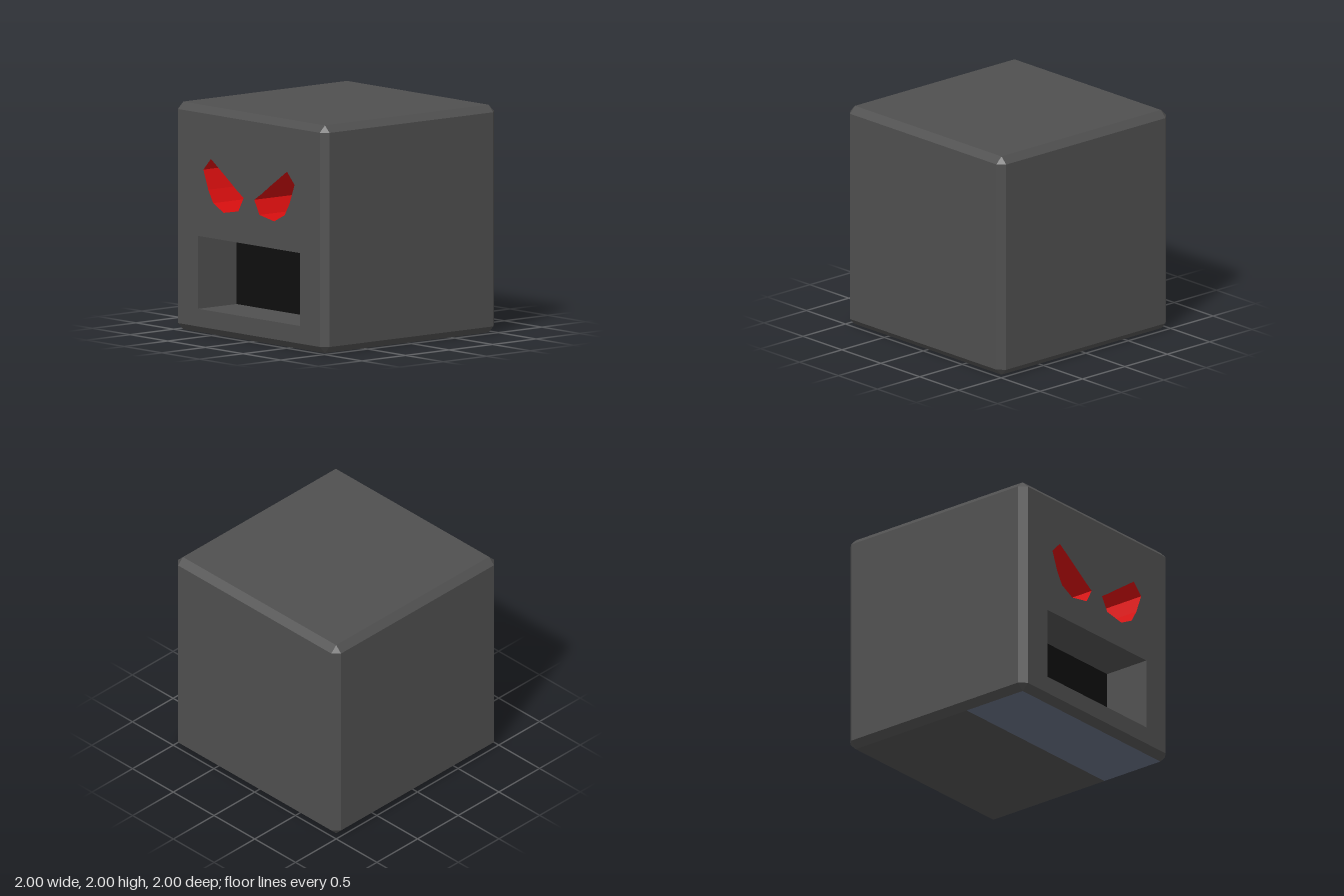
import * as THREE from 'three';
import { ConvexGeometry } from 'three/addons/geometries/ConvexGeometry.js';

const mat = (name, color) => {
  const m = new THREE.MeshStandardMaterial({ color });
  m.name = name;
  return m;
};

const F = 0.94; // half size of each flat face inside the bevel

// One eye outline, counter-clockwise, for the +x side
const EYE = [[0.07, 1.255], [0.14, 1.13], [0.335, 1.095], [0.475, 1.165], [0.54, 1.275],
  [0.605, 1.445], [0.505, 1.55], [0.395, 1.475], [0.285, 1.4], [0.165, 1.315]];
const EYE_CAPS = [[0, 1, 9], [1, 2, 7, 8, 9], [2, 3, 4, 5, 6, 7]];
const MOUTH = [[-0.675, 0.215], [0.675, 0.215], [0.675, 0.855], [-0.675, 0.855]];

// Walls and floor of a recess cut into the front face; side -1 mirrors it
function recess(outline, depths, caps, side = 1) {
  const front = outline.map(([x, y]) => [x * side, y, 1]);
  const back = front.map(([x, y], i) => [x, y, 1 - depths[i]]);
  const walls = [], floor = [];
  const tri = (out, a, b, c) => out.push(...a, ...(side > 0 ? [...b, ...c] : [...c, ...b]));
  front.forEach((p, i) => {
    const j = (i + 1) % front.length;
    tri(walls, p, front[j], back[j]);
    tri(walls, p, back[j], back[i]);
  });
  for (const cap of caps)
    for (let k = 1; k < cap.length - 1; k++) tri(floor, back[cap[0]], back[cap[k]], back[cap[k + 1]]);
  return [walls, floor].map(fromTriangles);
}

function fromTriangles(values) {
  const g = new THREE.BufferGeometry();
  g.setAttribute('position', new THREE.Float32BufferAttribute(values, 3));
  g.computeVertexNormals();
  return g;
}

// Bevelled cube shell without its front and bottom faces
function shell() {
  const pts = [];
  for (const x of [-1, 1]) for (const y of [-1, 1]) for (const z of [-1, 1]) {
    pts.push(new THREE.Vector3(x, y * F + 1, z * F));
    pts.push(new THREE.Vector3(x * F, y + 1, z * F));
    pts.push(new THREE.Vector3(x * F, y * F + 1, z));
  }
  const p = new ConvexGeometry(pts).getAttribute('position');
  const kept = [];
  for (let i = 0; i < p.count; i += 3) {
    const t = [i, i + 1, i + 2];
    if (t.every(k => p.getZ(k) > 0.999) || t.every(k => p.getY(k) < 0.001)) continue;
    t.forEach(k => kept.push(p.getX(k), p.getY(k), p.getZ(k)));
  }
  return fromTriangles(kept);
}

export function createModel() {
  const group = new THREE.Group();
  const grey = mat('stone grey', 0x4f4f4f);
  const red = mat('eye red', 0xd60e0e);
  const black = mat('mouth black', 0x0e0e0e);
  const slate = mat('slate blue', 0x646c80);
  const add = (name, geometry, material) => {
    const m = new THREE.Mesh(geometry, material);
    m.name = name;
    group.add(m);
    return m;
  };

  add('body', shell(), grey);

  // Front face with openings for the eyes and mouth
  const vec = (pts, s = 1) => pts.map(([x, y]) => new THREE.Vector2(x * s, y));
  const face = new THREE.Shape(vec([[-F, 1 - F], [F, 1 - F], [F, 1 + F], [-F, 1 + F]]));
  face.holes.push(new THREE.Path(vec(MOUTH)), new THREE.Path(vec(EYE)), new THREE.Path(vec(EYE, -1)));
  add('frontFace', new THREE.ShapeGeometry(face).translate(0, 0, 1), grey);

  // Underside: grey at the back, slate strip at the front
  const underside = (name, z0, z1, material) =>
    add(name, new THREE.PlaneGeometry(2 * F, z1 - z0).rotateX(Math.PI / 2).translate(0, 0, (z0 + z1) / 2), material);
  underside('undersideBack', -F, 0.31, grey);
  underside('undersideFront', 0.31, F, slate);

  // Mouth recess
  const [mouthWalls, mouthBack] = recess(MOUTH, [0.44, 0.44, 0.44, 0.44], [[0, 1, 2, 3]]);
  add('mouthWalls', mouthWalls, grey);
  add('mouthBack', mouthBack, black);

  // Eye recesses; the right one has a stepped floor
  const flat = EYE.map(() => 0.45);
  const stepped = EYE.map((p, i) => (i < 2 || i === 9 ? 0.5 : i === 8 ? 0.45 : 0.4));
  for (const [name, side, depths] of [['leftEye', 1, flat], ['rightEye', -1, stepped]]) {
    const [walls, floor] = recess(EYE, depths, EYE_CAPS, side);
    add(name + 'Walls', walls, red);
    add(name + 'Back', floor, red);
  }
  return group;
}
